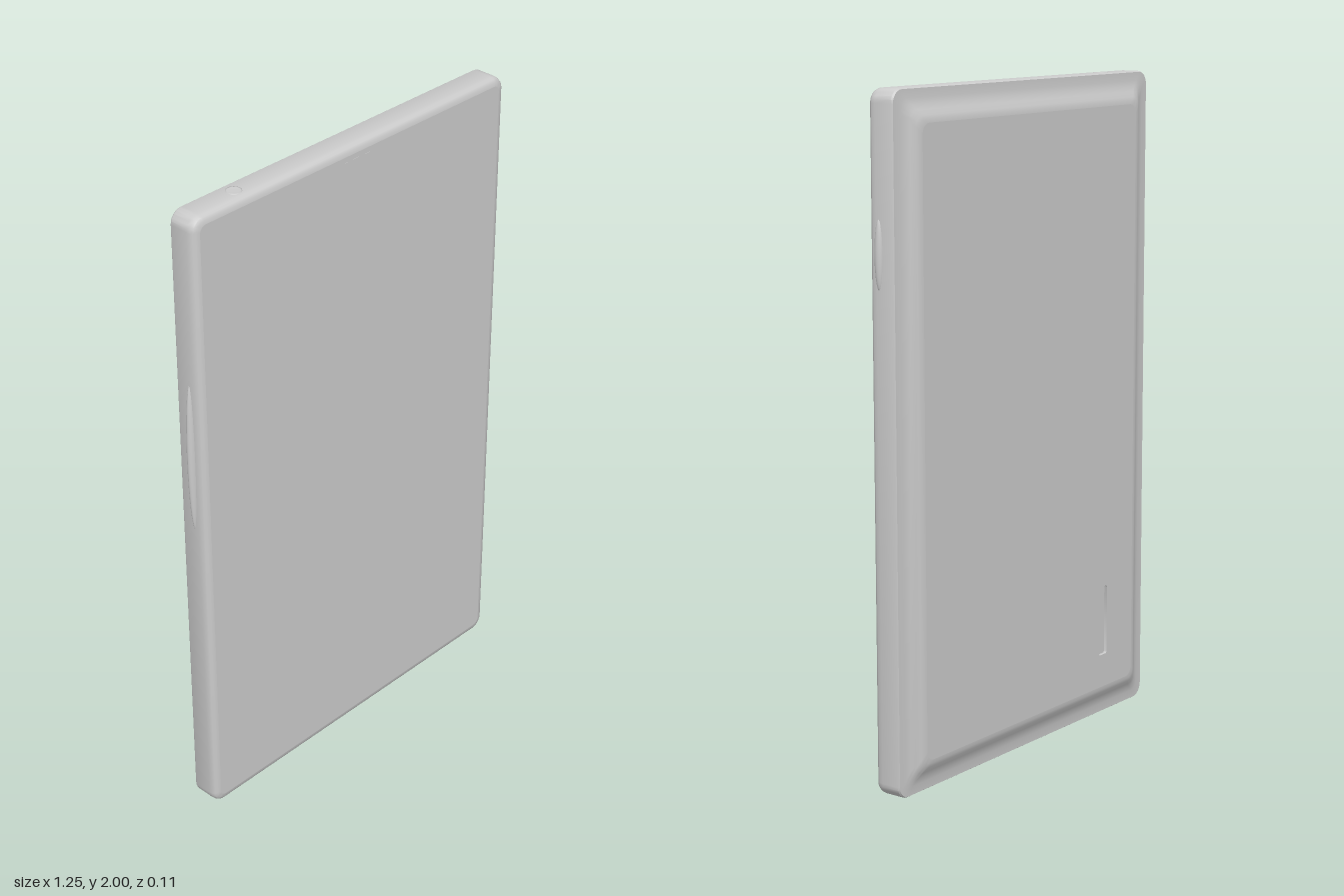
import * as THREE from 'three';
import { toCreasedNormals } from 'three/addons/utils/BufferGeometryUtils.js';

const W = 0.613, H = 1, BACK = -0.057;

// Points of a rounded rectangle, counter-clockwise seen from +z
function roundedLoop(hw, hh, r, cx = 0, cy = 0) {
  const pts = [], n = 6;
  [[1, -1], [1, 1], [-1, 1], [-1, -1]].forEach(([sx, sy], k) => {
    for (let i = 0; i <= n; i++) {
      const a = (k - 1 + i / n) * Math.PI / 2;
      pts.push(new THREE.Vector2(
        cx + sx * (hw - r) + r * Math.cos(a), cy + sy * (hh - r) + r * Math.sin(a)));
    }
  });
  return pts;
}

// Skin through loops running from front to back
function loft(loops) {
  const pos = [], n = loops[0].pts.length;
  const put = (l, i) => pos.push(l.pts[i % n].x, l.pts[i % n].y, l.z);
  for (let k = 0; k < loops.length - 1; k++) {
    const a = loops[k], b = loops[k + 1];
    for (let i = 0; i < n; i++) {
      put(a, i); put(b, i); put(b, i + 1);
      put(a, i); put(b, i + 1); put(a, i + 1);
    }
  }
  const g = new THREE.BufferGeometry();
  g.setAttribute('position', new THREE.Float32BufferAttribute(pos, 3));
  return toCreasedNormals(g, 0.6);
}

export function createModel() {
  const model = new THREE.Group();
  const grey = new THREE.MeshStandardMaterial({ color: 0xcccccc });
  const greyDouble = new THREE.MeshStandardMaterial({ color: 0xcccccc, side: THREE.DoubleSide });
  const add = (name, geometry, material = grey, y = 0) => {
    const mesh = new THREE.Mesh(geometry, material);
    mesh.name = name;
    mesh.position.y = y;
    model.add(mesh);
    return mesh;
  };

  // Edge profile: inset, z, corner radius
  const frame = [
    [0.024, 0.057, 0.022], [0.013, 0.055, 0.03], [0.005, 0.05, 0.036], [0.001, 0.042, 0.04],
    [0, 0.03, 0.04], [0, -0.026, 0.04], [0.003, -0.031, 0.038], [0.028, -0.032, 0.03],
    [0.045, -0.036, 0.03], [0.06, -0.043, 0.03], [0.075, -0.052, 0.03], [0.086, -0.056, 0.03],
    [0.096, BACK, 0.03],
  ].map(([d, z, r]) => ({ pts: roundedLoop(W - d, H - d, r), z }));
  add('frame', loft(frame), grey, 1);

  // Flat screen
  const screen = add('screen', new THREE.ShapeGeometry(new THREE.Shape(frame[0].pts)), grey, 1);
  screen.position.z = 0.057;

  // Back panel with a recessed speaker slot (mirrored in x as it is turned round)
  const panel = new THREE.Shape(frame[frame.length - 1].pts);
  panel.holes.push(new THREE.Path(roundedLoop(0.02, 0.11, 0.006, 0.36, -0.69).reverse()));
  const back = add('backPanel', new THREE.ShapeGeometry(panel), grey, 1);
  back.rotation.y = Math.PI;
  back.position.z = BACK;
  const slot = roundedLoop(0.02, 0.11, 0.006, -0.36, -0.69);
  add('speakerSlotWall', loft([{ pts: slot, z: BACK + 0.01 }, { pts: slot, z: BACK }]), greyDouble, 1);
  const floor = add('speakerSlotFloor', new THREE.ShapeGeometry(new THREE.Shape(slot)), greyDouble, 1);
  floor.position.z = BACK + 0.01;

  // Domed side buttons: long one on the right, short one on the left
  const button = (name, x, y, z, depth, halfLength, halfWidth) => {
    const g = new THREE.SphereGeometry(1, 24, 20).scale(depth, halfLength, halfWidth);
    add(name, g).position.set(x, y, z);
  };
  button('volumeButton', -W + 0.003, 1.25, 0.016, 0.018, 0.24, 0.013);
  button('powerButton', W - 0.003, 1.55, 0.022, 0.013, 0.1, 0.014);

  // Headphone socket in the top edge
  const socket = [[0.023, -0.004], [0.023, 0.0006], [0.019, 0.0008], [0.016, 0.0003], [0, 0.0003]]
    .map(([r, y]) => new THREE.Vector2(r, y));
  add('headphoneSocket', new THREE.LatheGeometry(socket, 16), greyDouble).position.set(-0.42, 2, 0.008);

  // Earpiece slit above the screen
  add('earpiece', new THREE.BoxGeometry(0.1, 0.012, 0.001)).position.set(0, 1.954, 0.057);

  return model;
}
